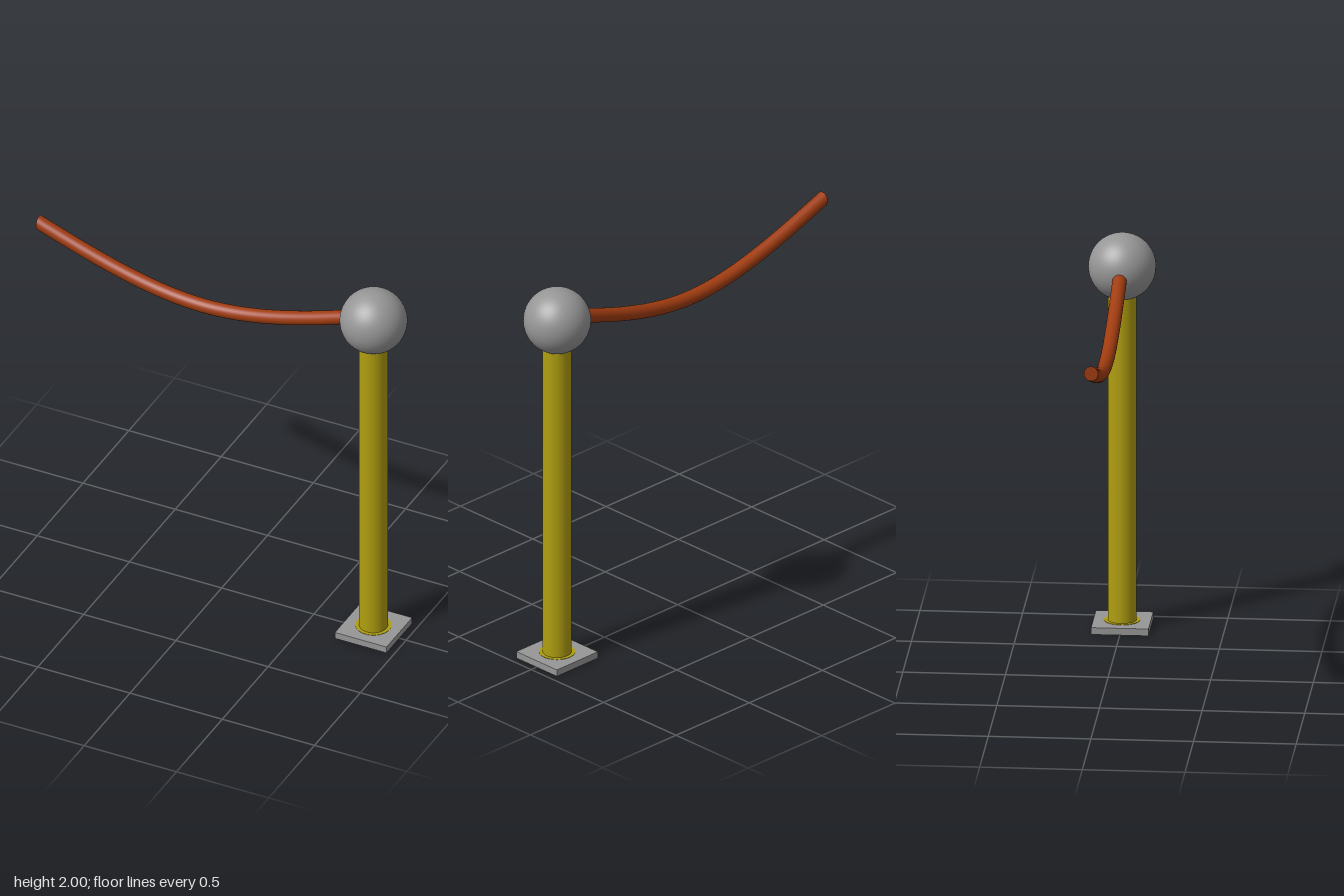
import * as THREE from 'three';

const POST_X = 0.823;

// Height and slope of the sagging rope's centre line at x
const rope = { start: -0.99, end: 0.8, low: 1.638, sag: 0.217, radius: 0.035 };
function ropeAt(x) {
  const half = (rope.end - rope.start) / 2;
  const d = (x - (rope.start + rope.end) / 2) / half;
  const s = Math.abs(d);
  return {
    y: rope.low + rope.sag * (1.5 * s * s - 0.5 * s ** 3),
    slope: (rope.sag / half) * Math.sign(d) * (3 * s - 1.5 * s * s),
  };
}

// A straight cylinder along x, bent to the sag; its ends stay vertical
function ropeGeometry() {
  const length = rope.end - rope.start;
  const geo = new THREE.CylinderGeometry(rope.radius, rope.radius, length, 32, 64);
  geo.rotateZ(-Math.PI / 2).translate((rope.start + rope.end) / 2, 0, 0);
  const p = geo.attributes.position;
  for (let i = 0; i < p.count; i++) {
    const { y, slope } = ropeAt(p.getX(i));
    p.setY(i, y + p.getY(i) * Math.hypot(1, slope));
  }
  geo.computeVertexNormals();
  return geo;
}

export function createModel() {
  const model = new THREE.Group();
  model.name = 'ropeBarrierPost';

  const add = (name, geometry, color, x = 0, y = 0) => {
    const mesh = new THREE.Mesh(geometry, new THREE.MeshStandardMaterial({ color }));
    mesh.name = name;
    mesh.position.set(x, y, 0);
    model.add(mesh);
  };

  // Square foot with a thin painted ring, round post and ball on top
  add('basePlate', new THREE.BoxGeometry(0.28, 0.035, 0.28), 0x969696, POST_X, 0.0175);
  add('paintRing', new THREE.CylinderGeometry(0.088, 0.088, 0.004, 48), 0xb09e10, POST_X, 0.035);
  add('post', new THREE.CylinderGeometry(0.07, 0.07, 1.7, 48), 0xb09e10, POST_X, 0.88);
  add('ballTop', new THREE.SphereGeometry(0.165, 48, 32), 0x969696, POST_X, 1.835);

  // Rope hanging from the ball
  add('rope', ropeGeometry(), 0xa03c10);

  return model;
}
